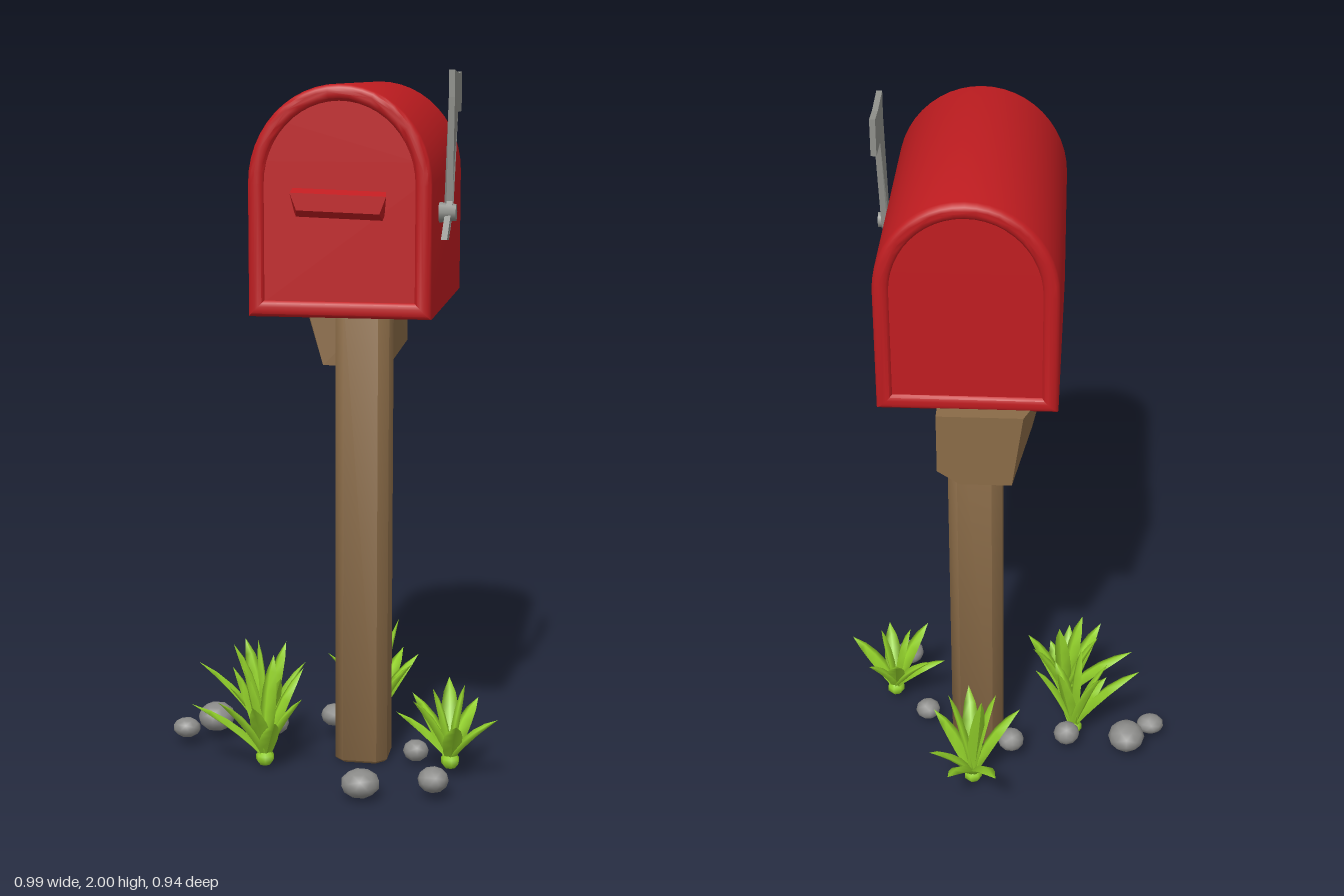
import * as THREE from 'three';
import { toCreasedNormals } from 'three/addons/utils/BufferGeometryUtils.js';
import { ConvexGeometry } from 'three/addons/geometries/ConvexGeometry.js';

const mat = (name, color) => Object.assign(new THREE.MeshStandardMaterial({ color }), { name });

export function createModel() {
  const red = mat('red paint', 0xbf1c20);
  const wood = mat('wood', 0x8a6b47);
  const metal = mat('grey metal', 0x8f908b);
  const stone = mat('stone', 0x8b8b89);
  const leaf = mat('leaf green', 0x93d22b);

  const model = new THREE.Group();
  model.name = 'mailbox';
  const add = (parent, name, geometry, material) => {
    const mesh = new THREE.Mesh(geometry, material);
    mesh.name = name;
    parent.add(mesh);
    return mesh;
  };

  // Arched outline, shrunk inwards by "inset"
  const CX = 0.08;
  const arch = (inset, Type = THREE.Shape) => {
    const rx = 0.24 - inset, ry = 0.255 - inset, s = new Type();
    s.moveTo(CX - rx, 1.365 + inset);
    s.lineTo(CX + rx, 1.365 + inset);
    s.lineTo(CX + rx, 1.71);
    s.absellipse(CX, 1.71, rx, ry, 0, Math.PI, false, 0);
    s.closePath();
    return s;
  };

  // Red box: rounded outer shell with slightly sunken end panels
  const box = new THREE.Group();
  box.name = 'box';
  model.add(box);
  const shellShape = arch(0);
  shellShape.holes.push(arch(0.045, THREE.Path));
  const bevel = 0.018;
  const shell = new THREE.ExtrudeGeometry(shellShape, {
    depth: 0.765 - 2 * bevel, curveSegments: 12, bevelEnabled: true,
    bevelThickness: bevel, bevelSize: bevel, bevelOffset: -bevel, bevelSegments: 3,
  });
  shell.translate(0, 0, -0.305 + bevel);
  add(box, 'shell', toCreasedNormals(shell, 0.7), red);
  const panels = new THREE.ExtrudeGeometry(arch(0.03), { depth: 0.745, curveSegments: 12, bevelEnabled: false });
  panels.translate(0, 0, -0.295);
  add(box, 'endPanels', toCreasedNormals(panels, 0.7), red);

  // Door handle: a lip that narrows downwards
  const handle = [];
  for (const [w, y, z] of [[0.12, 1.705, 0.44], [0.125, 1.69, 0.475], [0.108, 1.645, 0.475], [0.115, 1.62, 0.44]]) {
    handle.push(new THREE.Vector3(CX - w, y, z), new THREE.Vector3(CX + w, y - 0.008, z));
  }
  add(box, 'doorHandle', new ConvexGeometry(handle), red);

  // Post: square timber with softened corners
  const hx = 0.077, hz = 0.075, c = 0.028;
  const postShape = new THREE.Shape([
    [-hx + c, -hz], [hx - c, -hz], [hx, -hz + c], [hx, hz - c],
    [hx - c, hz], [-hx + c, hz], [-hx, hz - c], [-hx, -hz + c],
  ].map(([x, y]) => new THREE.Vector2(x, y)));
  const post = new THREE.ExtrudeGeometry(postShape, {
    depth: 1.36, bevelEnabled: true, bevelThickness: 0.008, bevelSize: 0.008, bevelOffset: -0.008, bevelSegments: 1,
  });
  post.rotateX(-Math.PI / 2).translate(0.078, 0.008, -0.015);
  add(model, 'post', toCreasedNormals(post, 0.85), wood);

  // Bracket block behind the post
  const bracket = [
    [-0.11, 1.372, -0.24], [-0.11, 1.372, -0.07], [-0.09, 1.29, -0.07], [-0.09, 1.29, -0.25],
    [-0.05, 1.16, -0.06], [0.14, 1.16, -0.06], [0.16, 1.372, -0.06],
    [-0.07, 1.372, -0.342], [0.16, 1.372, -0.342], [0.16, 1.2, -0.342], [0.1, 1.16, -0.342], [-0.04, 1.16, -0.342],
  ].map((p) => new THREE.Vector3(...p));
  add(model, 'bracket', new ConvexGeometry(bracket), wood);

  // Signal flag on the side, drawn in (z, y) and leaning slightly outwards
  const flag = new THREE.Group();
  flag.name = 'flag';
  model.add(flag);
  const flagShape = new THREE.Shape([
    [0.315, 1.56], [0.26, 1.555], [0.245, 1.64], [0.222, 1.89], [0.13, 1.89],
    [0.13, 1.995], [0.2, 1.99], [0.315, 2.0], [0.312, 1.93], [0.29, 1.66],
  ].map(([z, y]) => new THREE.Vector2(-z, y)));
  const plate = new THREE.ExtrudeGeometry(flagShape, { depth: 0.016, bevelEnabled: false });
  plate.rotateY(Math.PI / 2);
  const fp = plate.attributes.position;
  for (let i = 0; i < fp.count; i++) {
    fp.setX(i, fp.getX(i) + 0.328 + 0.017 * Math.min(1, (fp.getY(i) - 1.555) / 0.15));
  }
  plate.computeVertexNormals();
  add(flag, 'flagPlate', plate, metal);
  const bolt = new THREE.CylinderGeometry(0.022, 0.028, 0.05, 8);
  bolt.rotateZ(-Math.PI / 2).translate(0.34, 1.63, 0.278);
  add(flag, 'flagBolt', bolt, metal);

  // Grass blade: four-sided cone bent along a curve from the root to its tip
  const blade = (dx, h, dz) => {
    const g = new THREE.ConeGeometry(1, 1, 4, 5, true);
    const len = Math.hypot(dx, dz) || 1;
    const ox = dx / len, oz = dz / len;
    const curve = new THREE.QuadraticBezierCurve3(
      new THREE.Vector3(0, 0, 0),
      new THREE.Vector3(dx * 0.35, h * 0.62, dz * 0.35),
      new THREE.Vector3(dx, h, dz));
    const p = g.attributes.position;
    for (let i = 0; i < p.count; i++) {
      const t = p.getY(i) + 0.5;
      const r = Math.max(1 - t, 1e-6);
      const wide = t > 0.99 ? 0 : 0.014 + 0.014 * Math.sin(Math.PI * Math.min(1, t * 1.15));
      const side = (p.getX(i) / r) * wide, thick = (p.getZ(i) / r) * wide * 0.4;
      const q = curve.getPoint(t), d = curve.getTangent(t);
      const out = d.x * ox + d.z * oz;
      p.setXYZ(i,
        q.x + oz * side + ox * d.y * thick,
        q.y - out * thick,
        q.z - ox * side + oz * d.y * thick);
    }
    g.computeVertexNormals();
    return g;
  };

  // Tufts: root position, then tip offsets (x, height, z)
  const tufts = [
    ['leftFrontGrass', [-0.19, 0.03, 0.13], [[-0.21, 0.16, 0.03], [-0.11, 0.2, 0.12], [-0.01, 0.19, 0.12],
      [-0.1, 0.26, -0.03], [0.02, 0.3, -0.04], [0.12, 0.2, 0.05], [0.1, 0.25, -0.08], [-0.05, 0.28, 0.05], [0.05, 0.14, 0.1]]],
    ['leftBackGrass', [-0.22, 0.04, -0.03], [[-0.2, 0.22, 0.01], [-0.08, 0.27, -0.09], [0.05, 0.27, -0.07],
      [-0.1, 0.16, 0.05], [0.06, 0.2, 0.07], [0.12, 0.23, -0.01], [-0.02, 0.3, 0.01], [-0.1, 0.27, -0.02]]],
    ['rightGrass', [0.35, 0.05, 0.12], [[0.14, 0.15, 0.06], [0.07, 0.16, -0.1], [-0.02, 0.2, -0.15],
      [0.03, 0.15, 0.14], [-0.05, 0.22, 0.02], [0.04, 0.23, 0], [-0.16, 0.13, -0.02], [-0.1, 0.2, 0.08], [-0.12, 0.17, -0.08]]],
    ['backGrass', [0.08, 0.03, -0.25], [[-0.08, 0.19, -0.22], [0.06, 0.17, -0.2], [0.12, 0.18, -0.11],
      [0.07, 0.32, -0.01], [-0.07, 0.3, 0.02], [-0.14, 0.22, 0.05], [0.12, 0.2, 0.06], [0.02, 0.23, 0.14], [-0.03, 0.32, -0.04]]],
  ];
  for (const [name, root, tips] of tufts) {
    const tuft = new THREE.Group();
    tuft.name = name;
    tuft.position.set(...root);
    model.add(tuft);
    const core = add(tuft, 'root', new THREE.SphereGeometry(0.028, 7, 5), leaf);
    core.scale.y = 0.9;
    for (const tip of tips) add(tuft, 'blade', blade(...tip), leaf);
  }

  // Stones: centre and radii
  const stones = [
    [-0.385, 0.065, -0.095, 0.056, 0.044, 0.058], [-0.46, 0.052, -0.02, 0.042, 0.03, 0.036],
    [-0.2, 0.06, -0.085, 0.04, 0.036, 0.038], [-0.03, 0.075, -0.14, 0.04, 0.034, 0.04],
    [0.12, 0.045, 0.325, 0.056, 0.04, 0.055], [0.24, 0.04, 0.03, 0.038, 0.032, 0.036],
    [0.32, 0.055, 0.29, 0.044, 0.036, 0.045],
  ];
  stones.forEach(([x, y, z, rx, ry, rz], i) => {
    const rock = add(model, 'stone', new THREE.IcosahedronGeometry(1, 1).rotateY(i * 1.3), stone);
    rock.scale.set(rx, ry, rz);
    rock.position.set(x, y, z);
  });

  return model;
}
